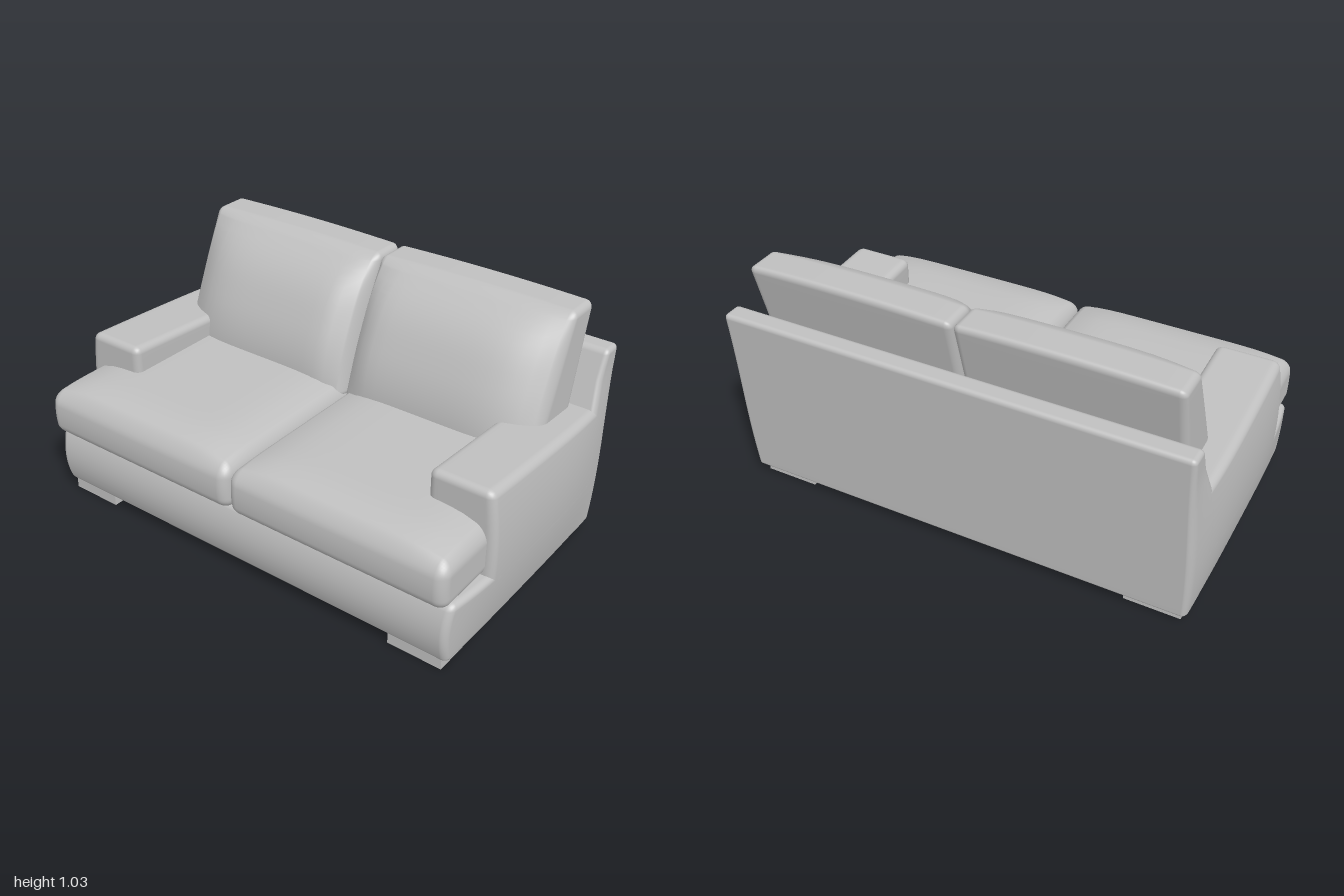
import * as THREE from 'three';
import { mergeVertices } from 'three/addons/utils/BufferGeometryUtils.js';

const leather = new THREE.MeshStandardMaterial({ color: 0xc0c0c0 });
leather.name = 'grey leather';

const clamp = THREE.MathUtils.clamp;
const lerp = THREE.MathUtils.lerp;

// Smooth rounded block between two corners, then reshaped by warp(point, u)
// where u runs from -1 to 1 along each axis.
function softBlock(name, min, max, r, warp) {
  const n = 24, k = 4;
  let geo = new THREE.BoxGeometry(1, 1, 1, n, n, n);
  geo.deleteAttribute('uv');
  geo.deleteAttribute('normal');
  geo = mergeVertices(geo, 1e-4);
  const pos = geo.attributes.position;

  // Pack the outer grid rows into the rounded edges
  const spread = (t, half) => {
    const i = Math.round((t + 0.5) * n);
    const inner = half - r;
    const edge = (j) => inner + r * Math.tan((Math.PI / 4) * (1 - j / k));
    if (i <= k) return -edge(i);
    if (i >= n - k) return edge(n - i);
    return lerp(-inner, inner, (i - k) / (n - 2 * k));
  };
  const half = max.map((m, a) => (m - min[a]) / 2);
  const mid = new THREE.Vector3(...max.map((m, a) => (m + min[a]) / 2));
  const core = new THREE.Vector3(...half.map((h) => h - r));
  const p = new THREE.Vector3(), q = new THREE.Vector3();

  for (let i = 0; i < pos.count; i++) {
    p.fromBufferAttribute(pos, i);
    p.set(spread(p.x, half[0]), spread(p.y, half[1]), spread(p.z, half[2]));
    q.copy(p).clamp(core.clone().negate(), core);
    p.sub(q).normalize().multiplyScalar(r).add(q);
    const u = { x: p.x / half[0], y: p.y / half[1], z: p.z / half[2] };
    p.add(mid);
    warp(p, u);
    pos.setXYZ(i, p.x, p.y, p.z);
  }
  geo.computeVertexNormals();
  const mesh = new THREE.Mesh(geo, leather);
  mesh.name = name;
  return mesh;
}

// Shared outward swell of the sofa's two ends
function swellSides(p) {
  const across = clamp((Math.abs(p.x) - 0.72) / 0.23, 0, 1);
  const alongZ = Math.max(0, 1 - Math.pow(Math.abs(p.z) / 0.6, 3));
  const alongY = Math.max(0, 1 - Math.pow((p.y - 0.37) / 0.35, 2));
  p.x += Math.sign(p.x) * 0.045 * across * alongZ * alongY;
}

// x range of a part on the given side
const span = (side, a, b) => (side > 0 ? [a, b] : [-b, -a]);

function makeArm(side) {
  const [x0, x1] = span(side, 0.71, 0.955);
  return softBlock(side > 0 ? 'leftArm' : 'rightArm', [x0, 0.04, -0.52], [x1, 0.655, 0.335], 0.03, (p) => {
    const drop = 0.045 * (0.33 - p.z) / 0.76;
    p.y -= drop * (p.y - 0.04) / 0.615;
    swellSides(p);
  });
}

function makeSeatCushion(side) {
  const [x0, x1] = span(side, 0.003, 0.96);
  return softBlock(side > 0 ? 'leftSeatCushion' : 'rightSeatCushion', [x0, 0.3, -0.4], [x1, 0.49, 0.595], 0.045, (p, u) => {
    // Crowned top, softly bulging front
    const dome = (1 - Math.pow(u.x, 6)) * (1 - Math.pow(Math.abs(u.z), 9));
    p.y += (u.y > 0 ? 0.053 : -0.005) * Math.abs(u.y) * dome;
    if (u.z > 0) p.z += 0.013 * u.z * (1 - u.y * u.y);
  });
}

function makeBackCushion(side) {
  const [x0, x1] = span(side, 0.003, 0.872);
  return softBlock(side > 0 ? 'leftBackCushion' : 'rightBackCushion', [x0, 0.46, -0.1], [x1, 1.02, 0.1], 0.028, (p, u) => {
    // Leaning wedge, thicker at the bottom
    const y = p.y;
    const front = -0.21 - 0.16 * (y - 0.65) / 0.36;
    const rear = -0.42 - 0.09 * (y - 0.61) / 0.36;
    const t = (u.z + 1) / 2;
    // Full, rounded front face
    const outward = u.x * side;
    const across = 1 - Math.pow(Math.abs(outward), outward > 0 ? 4 : 10);
    const high = y > 0.75 ? 1 - Math.pow((y - 0.75) / 0.275, 3) : 1 - 0.5 * Math.pow((0.75 - y) / 0.25, 2);
    p.z = lerp(rear, front, t) + 0.115 * Math.max(0, across) * Math.max(0, high) * t;
    if (u.y > 0) p.y += 0.008 * u.y * (1 - u.x * u.x);
  });
}

// L-shaped foot wrapped round one corner
function makeFoot(sx, sz) {
  const outX = 0.93, inX = 0.7, w = 0.055;
  const outZ = sz > 0 ? 0.54 : 0.505, inZ = sz > 0 ? 0.34 : 0.3;
  const corners = [
    [outX, outZ], [inX, outZ], [inX, outZ - w], [outX - w, outZ - w], [outX - w, inZ], [outX, inZ],
  ];
  const shape = new THREE.Shape(corners.map(([x, z]) => new THREE.Vector2(x * sx, -z * sz)));
  const geo = new THREE.ExtrudeGeometry(shape, { depth: 0.05, bevelEnabled: false });
  geo.rotateX(-Math.PI / 2);
  const foot = new THREE.Mesh(geo, leather);
  foot.name = (sz > 0 ? 'front' : 'back') + (sx > 0 ? 'Left' : 'Right') + 'Foot';
  return foot;
}

export function createModel() {
  const sofa = new THREE.Group();
  sofa.name = 'sofa';

  // Base with a padded front panel
  sofa.add(softBlock('base', [-0.955, 0.04, -0.5], [0.955, 0.305, 0.545], 0.025, (p, u) => {
    if (u.z > 0) p.z += 0.03 * u.z * (1 - u.y * u.y);
    swellSides(p);
  }));

  // Back panel: raked rear, sloping front
  sofa.add(softBlock('backPanel', [-0.955, 0.04, -0.05], [0.955, 0.83, 0.05], 0.02, (p, u) => {
    const rear = -0.54 - 0.065 * (p.y - 0.04) / 0.79;
    const front = -0.43 - 0.09 * (Math.max(p.y, 0.5) - 0.61) / 0.22;
    p.z = lerp(rear, front, (u.z + 1) / 2);
    swellSides(p);
  }));

  for (const side of [1, -1]) {
    sofa.add(makeArm(side), makeSeatCushion(side), makeBackCushion(side));
    sofa.add(makeFoot(side, 1), makeFoot(side, -1));
  }
  return sofa;
}
